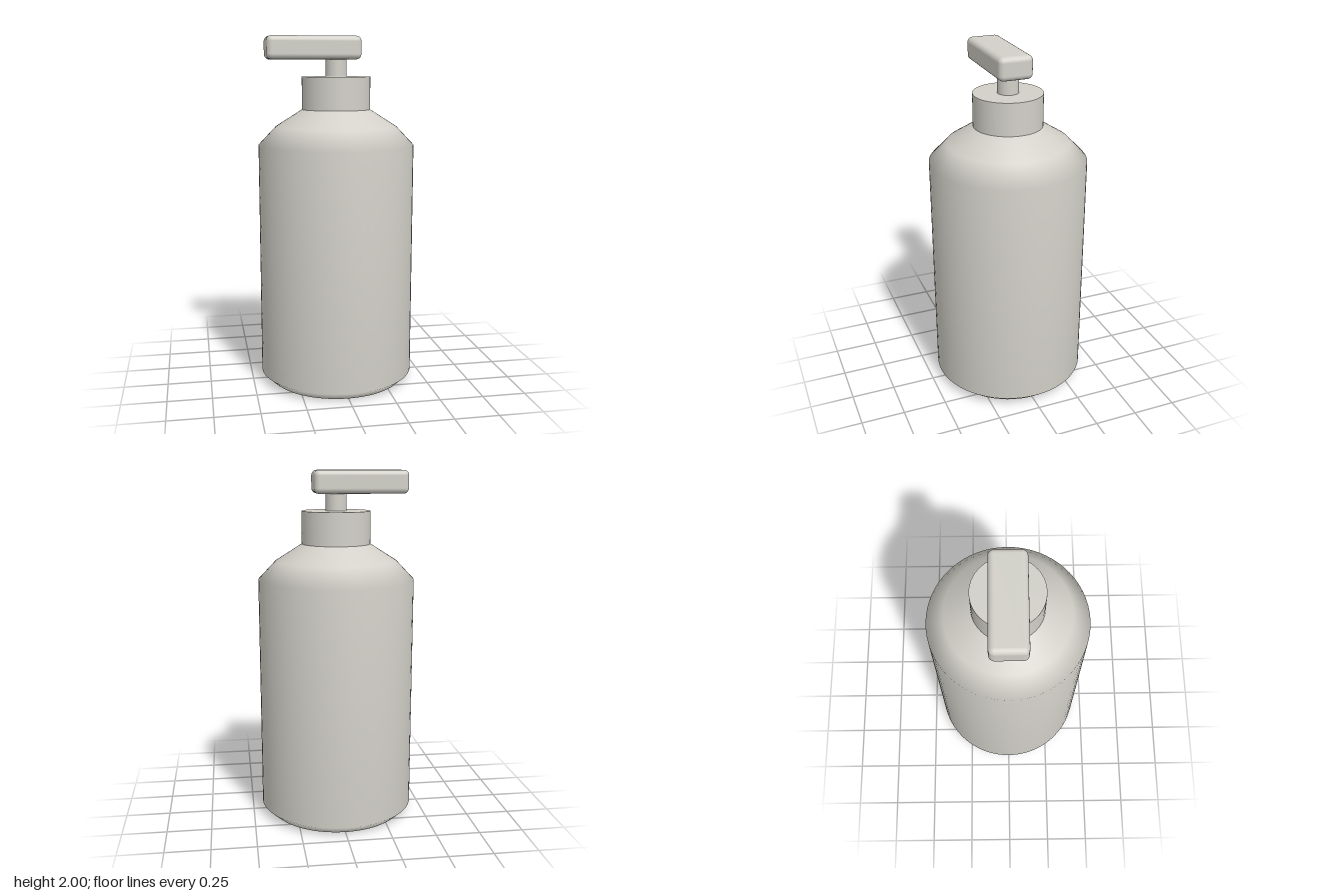
import * as THREE from 'three';
import { RoundedBoxGeometry } from 'three/addons/geometries/RoundedBoxGeometry.js';

const SEGMENTS = 64;

export function createModel() {
  const group = new THREE.Group();
  group.name = 'pumpBottle';
  const ceramic = new THREE.MeshStandardMaterial({ color: 0xd2d0c8 });
  ceramic.name = 'warm grey';

  const add = (name, geometry, x, y, z = 0) => {
    const mesh = new THREE.Mesh(geometry, ceramic);
    mesh.name = name;
    mesh.position.set(x, y, z);
    group.add(mesh);
    return mesh;
  };

  // Bottle wall: chamfered foot, straight side, two-step shoulder
  const profile = [
    [0.39, 0], [0.445, 0.05], [0.445, 1.39], [0.345, 1.495], [0.195, 1.59],
  ].map(([r, y]) => new THREE.Vector2(r, y));
  add('bottle', new THREE.LatheGeometry(profile, SEGMENTS), 0, 0);

  // Flat underside with a crisp rim
  add('base', new THREE.CircleGeometry(0.39, SEGMENTS).rotateX(Math.PI / 2), 0, 0);

  // Collar and pump stem
  add('collar', new THREE.CylinderGeometry(0.195, 0.195, 0.185, SEGMENTS), 0, 1.6825);
  add('stem', new THREE.CylinderGeometry(0.06, 0.06, 0.12, 32), 0, 1.825);

  // Rounded pump head, its spout reaching towards -x
  add('pumpHead', new RoundedBoxGeometry(0.534, 0.13, 0.195, 3, 0.03), -0.135, 1.935);

  return group;
}
